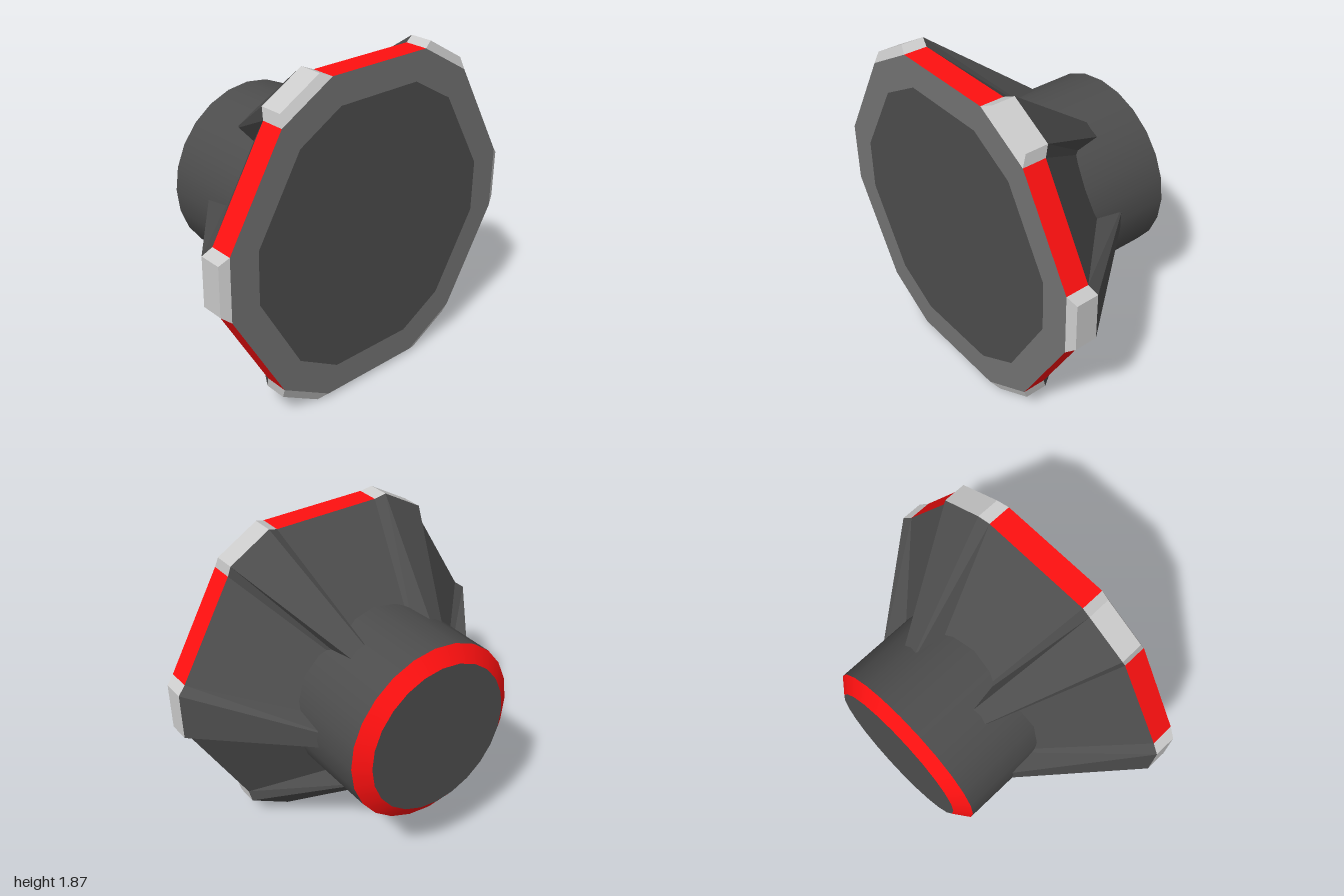
import * as THREE from 'three';

const mat = (color, flatShading = false) => new THREE.MeshStandardMaterial({ color, flatShading });
const DARK = 0x4d4d4d, FRAME = 0x737373, RED = 0xff1010, GREY = 0xcccccc;

// Rotates a point about the z axis by k sixths of a turn
function turn(x, y, z, k) {
  const a = k * Math.PI / 3, c = Math.cos(a), s = Math.sin(a);
  return [x * c - y * s, x * s + y * c, z];
}

// Hexagonal ring with a raised rib at each corner: four points per corner
function ribbedRing(baseX, baseHalf, baseZ, topX, topHalf, topZ) {
  const pts = [];
  for (let k = 0; k < 6; k++) {
    pts.push(turn(baseX, -baseHalf, baseZ, k), turn(topX, -topHalf, topZ, k),
      turn(topX, topHalf, topZ, k), turn(baseX, baseHalf, baseZ, k));
  }
  return pts;
}

function quadGeometry(quads) {
  const pos = [];
  for (const [a, b, c, d] of quads) pos.push(...a, ...b, ...c, ...a, ...c, ...d);
  const g = new THREE.BufferGeometry();
  g.setAttribute('position', new THREE.Float32BufferAttribute(pos, 3));
  g.computeVertexNormals();
  return g;
}

// Side quads joining a rear ring to a front ring
const loft = (rear, front) => rear.map((p, i) => {
  const j = (i + 1) % rear.length;
  return [p, rear[j], front[j], front[i]];
});

// Twelve-sided outline: a hexagon with cut corners
function outline(x, half) {
  const pts = [];
  for (let k = 0; k < 6; k++) {
    for (const s of [-1, 1]) {
      const [px, py] = turn(x, s * half, 0, k);
      pts.push(new THREE.Vector2(px, py));
    }
  }
  return pts;
}

export function createModel() {
  const model = new THREE.Group();
  const add = (name, geometry, material) => {
    const mesh = new THREE.Mesh(geometry, material);
    mesh.name = name;
    mesh.position.y = 0.937;
    model.add(mesh);
    return mesh;
  };

  // Funnel with tapering corner ribs, its narrow end hidden in the neck
  const neckRing = ribbedRing(0.248, 0.034, -0.3, 0.438, 0.034, -0.3);
  const rimRear = ribbedRing(0.95, 0.18, 0.43, 1.0, 0.14, 0.41);
  const rimFront = ribbedRing(0.95, 0.18, 0.565, 1.0, 0.14, 0.54);
  add('funnel', quadGeometry(loft(neckRing, rimRear)), mat(DARK, true));

  // Rim: red bands between grey corner blocks with bevelled fronts
  const rim = loft(rimRear, rimFront);
  add('rimBands', quadGeometry(rim.filter((q, i) => i % 4 === 3)), mat(RED, true));
  const blocks = rim.filter((q, i) => i % 4 !== 3);
  for (let i = 0; i < 24; i += 4) blocks.push(rimFront.slice(i, i + 4));
  add('cornerBlocks', quadGeometry(blocks), mat(GREY, true));

  // Front face: lighter frame around a dark panel
  const frame = new THREE.Shape(outline(0.95, 0.18));
  frame.holes.push(new THREE.Path(outline(0.78, 0.15)));
  add('frontFrame', new THREE.ShapeGeometry(frame).translate(0, 0, 0.565), mat(FRAME));
  const panel = new THREE.Shape(outline(0.78, 0.15));
  add('frontPanel', new THREE.ShapeGeometry(panel).translate(0, 0, 0.565), mat(DARK));

  // Round neck, red bevel and end cap at the back
  const tube = (rFront, rBack, zFront, zBack) =>
    new THREE.CylinderGeometry(rFront, rBack, zFront - zBack, 24, 1, true)
      .rotateX(Math.PI / 2).translate(0, 0, (zFront + zBack) / 2);
  add('neck', tube(0.525, 0.525, 0.1, -0.5), mat(DARK));
  add('neckBevel', tube(0.525, 0.44, -0.5, -0.565), mat(RED));
  add('neckCap', new THREE.CircleGeometry(0.44, 24).rotateY(Math.PI).translate(0, 0, -0.565), mat(DARK));

  return model;
}
